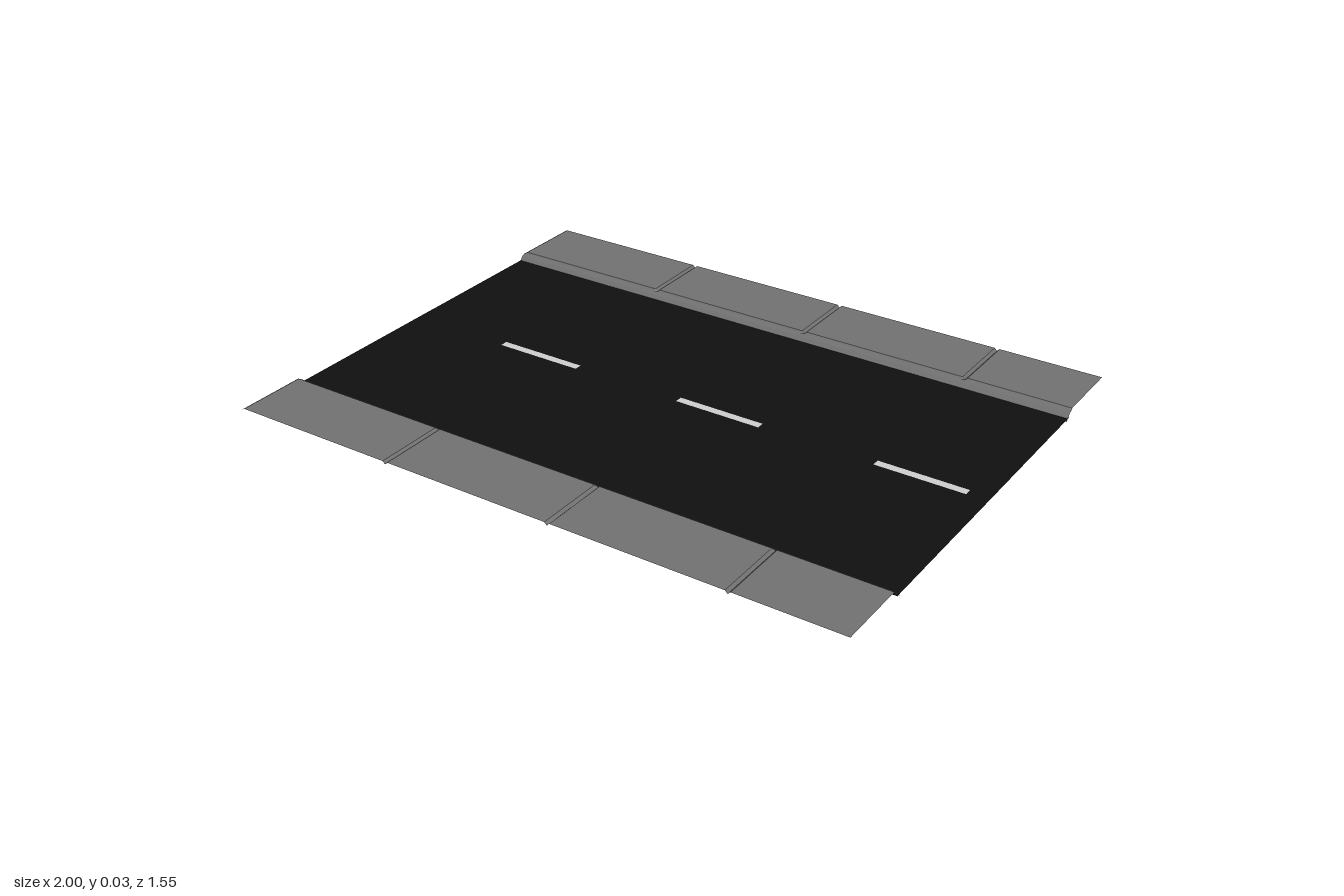
import * as THREE from 'three';

const mat = (color, flatShading = false) =>
  new THREE.MeshStandardMaterial({ color, flatShading, side: THREE.DoubleSide });

// Sheet lofted through cross-sections, each an equal-length list of [x, y, z]
function loft(sections) {
  const n = sections[0].length, index = [];
  for (let i = 0; i < sections.length - 1; i++) {
    for (let j = 0; j < n - 1; j++) {
      const a = i * n + j, b = a + n;
      index.push(a, a + 1, b, b, a + 1, b + 1);
    }
  }
  const g = new THREE.BufferGeometry();
  g.setAttribute('position', new THREE.Float32BufferAttribute(sections.flat(2), 3));
  g.setIndex(index);
  g.computeVertexNormals();
  return g;
}

// Rectangle outline in plan; y of the shape becomes -z
function rect(Type, x0, x1, z0, z1) {
  return new Type([[x0, -z1], [x1, -z1], [x1, -z0], [x0, -z0]].map(p => new THREE.Vector2(...p)));
}

export function createModel() {
  const model = new THREE.Group();
  const add = (name, geometry, material) => {
    const mesh = new THREE.Mesh(geometry, material);
    mesh.name = name;
    model.add(mesh);
  };
  const asphalt = mat(0x101010), paint = mat(0xc4c4c4), concrete = mat(0x707070, true);
  const roadY = 0.007, topY = 0.03;
  const flat = shape => new THREE.ShapeGeometry(shape).rotateX(-Math.PI / 2).translate(0, roadY, 0);

  // Road sheet with the lane dashes set into it
  const road = rect(THREE.Shape, -1, 1, -0.535, 0.535);
  for (const [x0, x1] of [[-0.655, -0.367], [0, 0.282], [0.654, 0.935]]) {
    road.holes.push(rect(THREE.Path, x0, x1, -0.014, 0.011));
    add('laneDash', flat(rect(THREE.Shape, x0, x1, -0.014, 0.011)), paint);
  }
  add('road', flat(road), asphalt);

  // Stations along the pavement: it dips into a V at every slab joint
  const stations = [[-1, 0.024], [-0.99, topY]];
  for (const x of [-0.45, 0.107, 0.66]) {
    stations.push([x - 0.008, topY], [x, 0.022], [x + 0.008, topY]);
  }
  stations.push([1, topY]);

  for (const [side, s] of [['left', 1], ['right', -1]]) {
    const order = pts => (s > 0 ? pts.reverse() : pts);
    const lean = s > 0 ? 0.775 : 0.78;
    // Sloped kerb face with a softened crest
    const kerb = x => order([[x, 0, s * 0.52], [x, 0.019, s * 0.537], [x, 0.024, s * 0.547]]);
    add(s > 0 ? 'frontKerb' : 'backKerb', loft(order([kerb(1), kerb(-1)])), concrete);
    // Pavement slabs
    const slabs = stations.map(([x, y]) =>
      [[x, Math.min(y, 0.024), s * 0.547], [x, y, s * 0.553], [x, y, s * lean]]);
    add(s > 0 ? 'frontPavement' : 'backPavement', loft(s > 0 ? slabs : slabs.reverse()), concrete);
  }
  // Keep kerb and pavement faces pointing upwards
  model.traverse(o => {
    if (!o.isMesh || !o.geometry.index) return;
    const normal = o.geometry.attributes.normal;
    let sum = 0;
    for (let i = 0; i < normal.count; i++) sum += normal.getY(i);
    if (sum < 0) {
      o.geometry.index.array.reverse();
      o.geometry.computeVertexNormals();
    }
  });
  return model;
}
